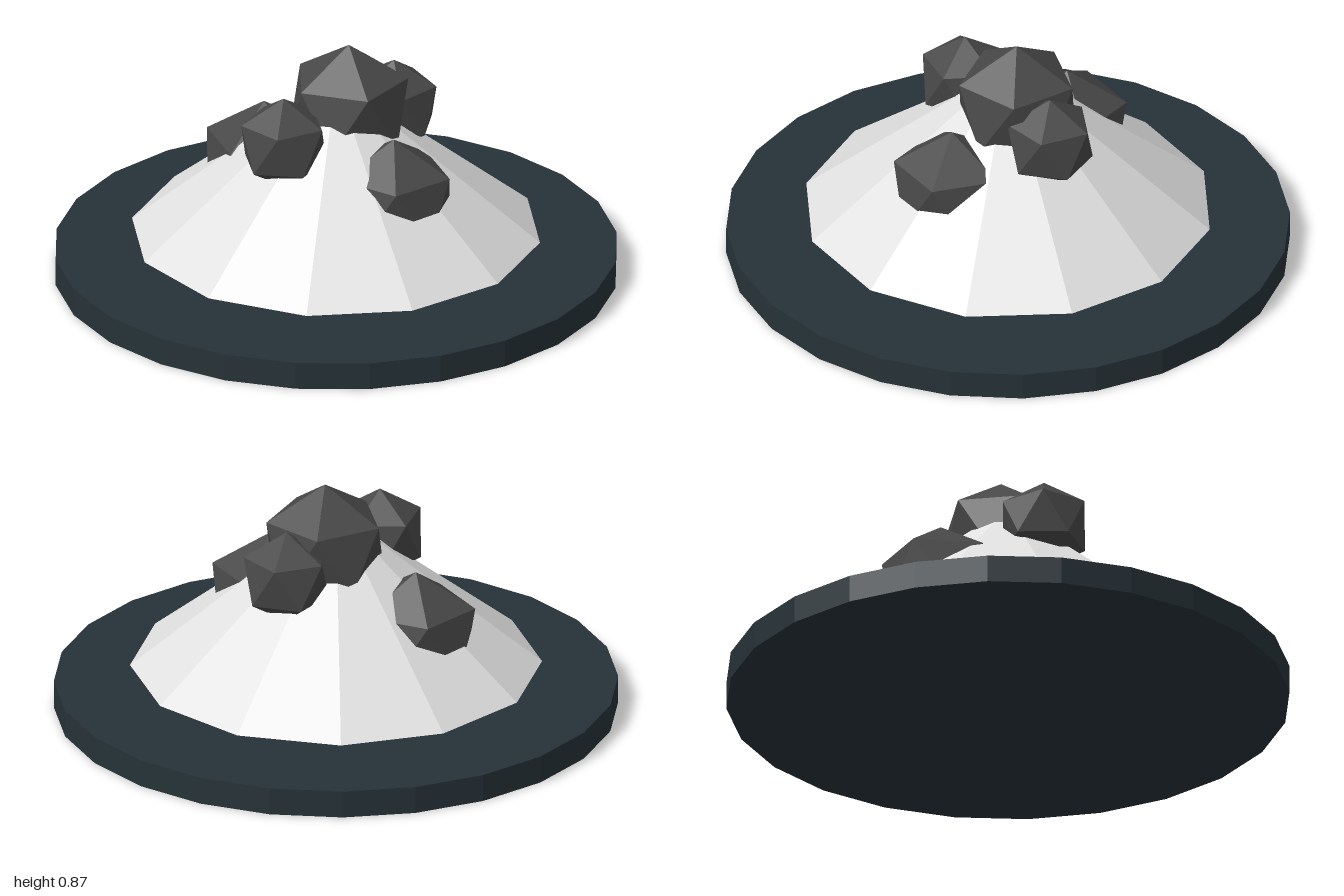
import * as THREE from 'three';

const material = (name, color) => {
  const m = new THREE.MeshStandardMaterial({ color, flatShading: true });
  m.name = name;
  return m;
};

export function createModel() {
  const group = new THREE.Group();
  const slate = material('dark slate', 0x263238);
  const ash = material('pale grey', 0xe0e0e0);
  const stone = material('charcoal', 0x484848);

  const add = (name, geometry, mat, x, y, z) => {
    const mesh = new THREE.Mesh(geometry, mat);
    mesh.name = name;
    mesh.position.set(x, y, z);
    group.add(mesh);
    return mesh;
  };

  // Round plate and the twelve-sided mound hovering just above it
  add('basePlate', new THREE.CylinderGeometry(1, 1, 0.1, 24), slate, 0, 0.05, 0);
  add('mound', new THREE.ConeGeometry(0.73, 0.59, 12), ash, 0, 0.455, 0);

  // Twenty-sided rocks standing on a corner: x, y, z, radius, turn in degrees
  const tilt = -Math.atan(2 / (1 + Math.sqrt(5)));
  const rocks = [
    ['topRock', 0.04, 0.632, -0.04, 0.236, 9],
    ['frontSmallRock', -0.16, 0.58, 0.19, 0.17, -18],
    ['backSmallRock', 0.18, 0.58, -0.19, 0.17, 0],
    ['leftRock', 0.23, 0.37, 0.155, 0.23, -8],
    ['rightRock', -0.28, 0.34, -0.155, 0.236, 28],
  ];
  for (const [name, x, y, z, radius, turn] of rocks) {
    const geometry = new THREE.IcosahedronGeometry(radius, 0);
    geometry.rotateZ(tilt);
    add(name, geometry, stone, x, y, z).rotation.y = THREE.MathUtils.degToRad(turn);
  }
  return group;
}
